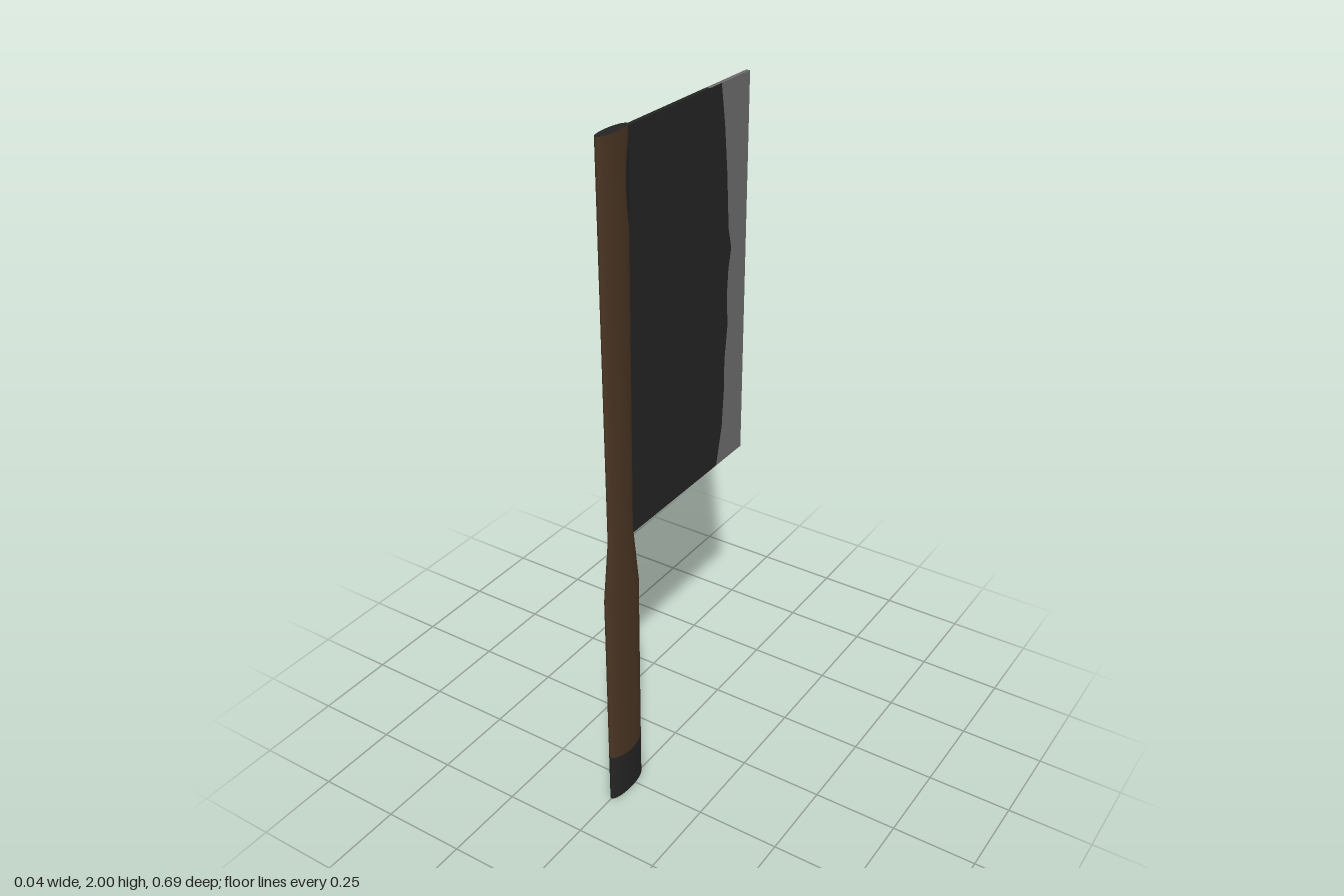
import * as THREE from 'three';

const mat = (name, color) => {
  const m = new THREE.MeshStandardMaterial({ color });
  m.name = name;
  return m;
};

// Surface through rows of points; points run rightwards and rows upwards as seen from outside.
function loft(name, rows, material, closed = false) {
  const n = rows[0].length, index = [];
  for (let i = 0; i < rows.length - 1; i++) {
    for (let j = 0; j < (closed ? n : n - 1); j++) {
      const k = (j + 1) % n;
      const a = i * n + j, b = i * n + k, c = (i + 1) * n + k, d = (i + 1) * n + j;
      index.push(a, b, c, a, c, d);
    }
  }
  const g = new THREE.BufferGeometry();
  g.setAttribute('position', new THREE.Float32BufferAttribute(rows.flat(2), 3));
  g.setIndex(index);
  g.computeVertexNormals();
  const mesh = new THREE.Mesh(g, material);
  mesh.name = name;
  return mesh;
}

// Handle: ellipse whose half depth varies with height
const SIDES = 32, CENTRE_Z = 0.27, FLATNESS = 0.275;
const PROFILE = [[0, 0.075], [0.71, 0.077], [0.89, 0.055], [2, 0.063]];
function halfDepth(y) {
  for (let i = 1; i < PROFILE.length; i++) {
    const [y0, r0] = PROFILE[i - 1], [y1, r1] = PROFILE[i];
    if (y <= y1) return r0 + (r1 - r0) * (y - y0) / (y1 - y0);
  }
  return PROFILE[PROFILE.length - 1][1];
}
function handlePoint(a, y, scale = 1) {
  const r = halfDepth(y) * scale;
  return [r * FLATNESS * Math.sin(a), y, CENTRE_Z + r * Math.cos(a)];
}
const ring = (height) => Array.from({ length: SIDES }, (_, i) => {
  const a = i / SIDES * Math.PI * 2;
  return handlePoint(a, typeof height === 'function' ? height(a) : height);
});

export function createModel() {
  const wood = mat('brown wood', 0x4a3523);
  const dark = mat('blackened metal', 0x242424);
  const steel = mat('bare steel', 0x6c6c6c);
  const model = new THREE.Group();
  model.name = 'cleaver';

  // Handle with a dark dipped foot
  const handle = new THREE.Group();
  handle.name = 'handle';
  const dip = (a) => 0.145 + 0.011 * Math.cos(a) ** 2 + 0.003 * Math.cos(a);
  handle.add(loft('handleFoot', [ring(0), ring(dip)], dark, true));
  handle.add(loft('handleGrip', [dip, 0.4, 0.71, 0.89, 1.4, 2].map(ring), wood, true));
  for (const [name, y, tilt] of [['handleTop', 2, -1], ['handleBottom', 0, 1]]) {
    const cap = new THREE.Mesh(new THREE.CircleGeometry(1, SIDES), dark);
    cap.name = name;
    cap.rotation.x = tilt * Math.PI / 2;
    cap.scale.set(halfDepth(y) * FLATNESS, halfDepth(y), 1);
    cap.position.set(0, y, CENTRE_Z);
    handle.add(cap);
  }

  // Dark stains on the handle beside the blade: side, then height and front angle in degrees
  const STAINS = [
    [1, [[1.74, 150], [1.79, 130], [1.85, 122], [1.91, 124], [1.97, 145]]],
    [-1, [[1.6, 150], [1.66, 135], [1.74, 128], [1.79, 148]]],
    [-1, [[1.2, 155], [1.27, 142], [1.35, 142], [1.41, 155]]],
  ];
  for (const [side, edge] of STAINS) {
    const rows = edge.map(([y, front]) => {
      const row = [];
      for (let i = 0; i <= 4; i++) {
        const deg = front + (166 - front) * i / 4;
        row.push(handlePoint(side * deg * Math.PI / 180, y, 1.025));
      }
      return side > 0 ? row : row.reverse();
    });
    handle.add(loft('handleStain', rows, dark));
  }
  model.add(handle);

  // Blade: dark body and bare cutting edge, parted by a ragged line on each side
  const blade = new THREE.Group();
  blade.name = 'blade';
  const T = 0.006, Y0 = 0.87, Y1 = 1.996, ROOT = 0.23, EDGE = -0.345, RIM = -0.15;
  const RAGGED = {
    1: [[Y0, -0.207], [0.99, -0.235], [1.1, -0.243], [1.2, -0.243], [1.3, -0.256], [1.4, -0.25],
      [1.47, -0.255], [1.53, -0.268], [1.59, -0.252], [1.75, -0.24], [1.88, -0.225], [Y1, -0.205]],
    [-1]: [[Y0, -0.138], [1.05, -0.16], [1.2, -0.172], [1.4, -0.183], [1.6, -0.188],
      [1.75, -0.175], [1.88, -0.165], [Y1, -0.147]],
  };
  for (const side of [1, -1]) {
    const strip = (name, from, to, material) => {
      const rows = RAGGED[side].map(([y, z]) => {
        const row = [[side * T, y, from ?? z], [side * T, y, to ?? z]];
        return side > 0 ? row : row.reverse();
      });
      blade.add(loft(name, rows, material));
    };
    strip('bladeBody', ROOT, null, dark);
    strip('cuttingEdge', null, EDGE, steel);
  }

  // Narrow faces around the blade
  for (const [name, y, s] of [['bladeTop', Y1, 1], ['bladeBottom', Y0, -1]]) {
    const row = (z) => [[-s * T, y, z], [s * T, y, z]];
    blade.add(loft(name, [row(ROOT), row(RIM)], dark));
    blade.add(loft(name + 'Edge', [row(RIM), row(EDGE)], steel));
  }
  const back = (y) => [[T, y, EDGE], [-T, y, EDGE]];
  blade.add(loft('cuttingFace', [back(Y0), back(Y1)], steel));
  model.add(blade);
  return model;
}
